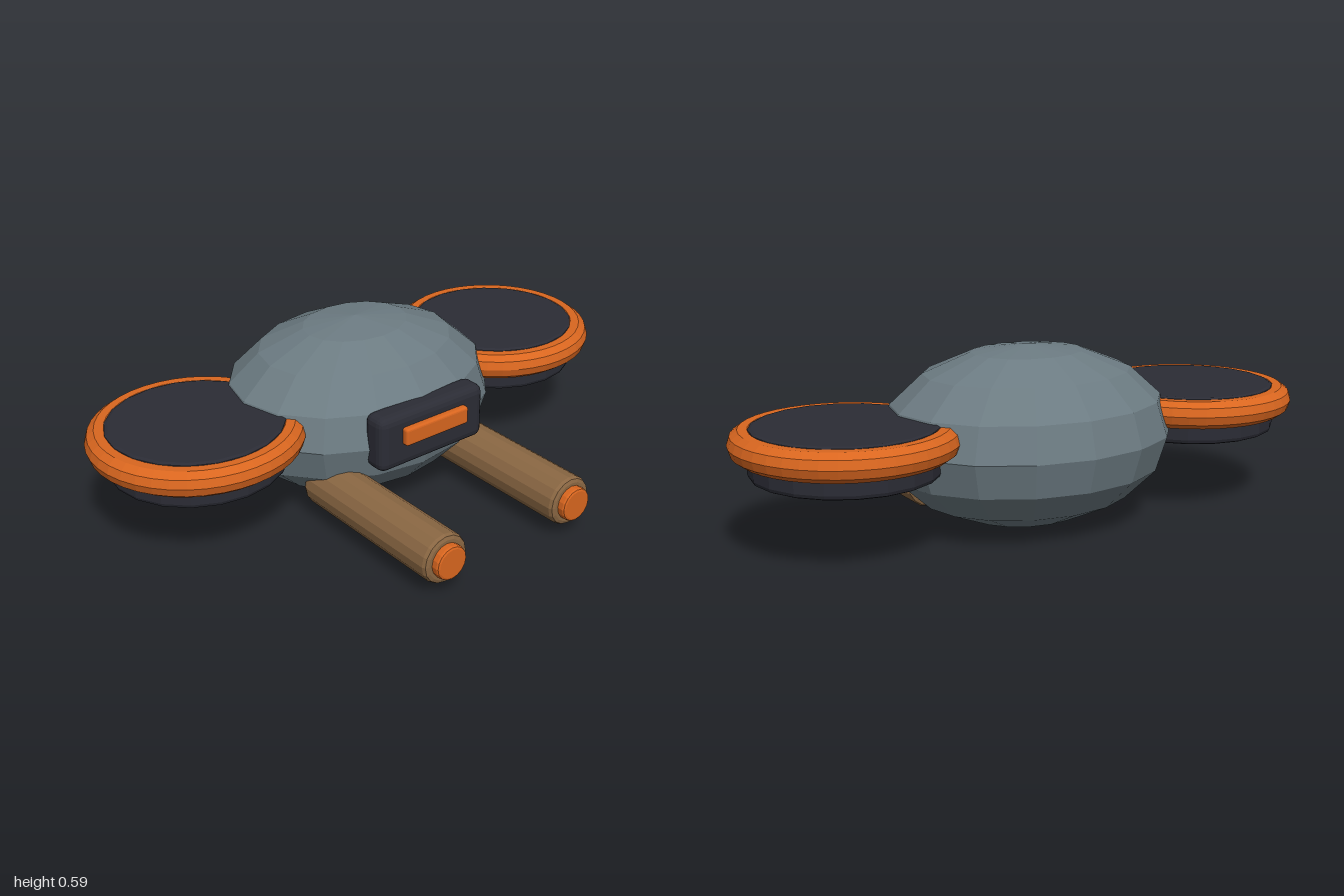
import * as THREE from 'three';
import { RoundedBoxGeometry } from 'three/addons/geometries/RoundedBoxGeometry.js';

const mat = (name, color, flatShading = true) => {
  const m = new THREE.MeshStandardMaterial({ color, flatShading });
  m.name = name;
  return m;
};

// Closed cylinder along y from 0 to h with chamfered rims
function bevelCylinder(r, h, bevel, sides) {
  const points = [
    [0, 0], [r - bevel, 0], [r - bevel * 0.3, bevel * 0.3], [r, bevel],
    [r, h - bevel], [r - bevel * 0.3, h - bevel * 0.3], [r - bevel, h], [0, h],
  ].map(([x, y]) => new THREE.Vector2(x, y));
  return new THREE.LatheGeometry(points, sides);
}

export function createModel() {
  const model = new THREE.Group();
  model.name = 'drone';

  const grey = mat('body grey', 0x6c7b82);
  const dark = mat('dark casing', 0x2b2c35);
  const orange = mat('orange trim', 0xd9661f);
  const brown = mat('brown metal', 0x8a6743);

  const add = (name, geometry, material, x, y, z) => {
    const mesh = new THREE.Mesh(geometry, material);
    mesh.name = name;
    mesh.position.set(x, y, z);
    model.add(mesh);
    return mesh;
  };

  // Faceted ellipsoid hull
  const hull = new THREE.SphereGeometry(1, 16, 8).scale(0.5, 0.295, 0.405);
  add('hull', hull, grey, 0, 0.297, -0.21);

  // Front sensor panel and its glowing slot
  add('sensorPanel', new RoundedBoxGeometry(0.44, 0.195, 0.095, 2, 0.03), dark, 0, 0.326, 0.162);
  add('sensorSlot', new RoundedBoxGeometry(0.264, 0.062, 0.05, 2, 0.009), orange, 0, 0.345, 0.207);

  for (const [side, s] of [['left', 1], ['right', -1]]) {
    // Rotor pod with its guard ring
    add(side + 'RotorPod', bevelCylinder(0.296, 0.158, 0.016, 20), dark, s * 0.645, 0.246, -0.215);
    const ring = new THREE.TorusGeometry(0.307, 0.048, 10, 40).rotateX(Math.PI / 2);
    add(side + 'GuardRing', ring, orange, s * 0.645, 0.353, -0.215);

    // Forward barrel and muzzle cap
    const barrel = bevelCylinder(0.086, 0.63, 0.016, 16).rotateX(Math.PI / 2);
    add(side + 'Barrel', barrel, brown, s * 0.268, 0.124, -0.043);
    const muzzle = bevelCylinder(0.059, 0.045, 0.009, 16).rotateX(Math.PI / 2);
    add(side + 'Muzzle', muzzle, orange, s * 0.268, 0.124, 0.57);
  }

  return model;
}
